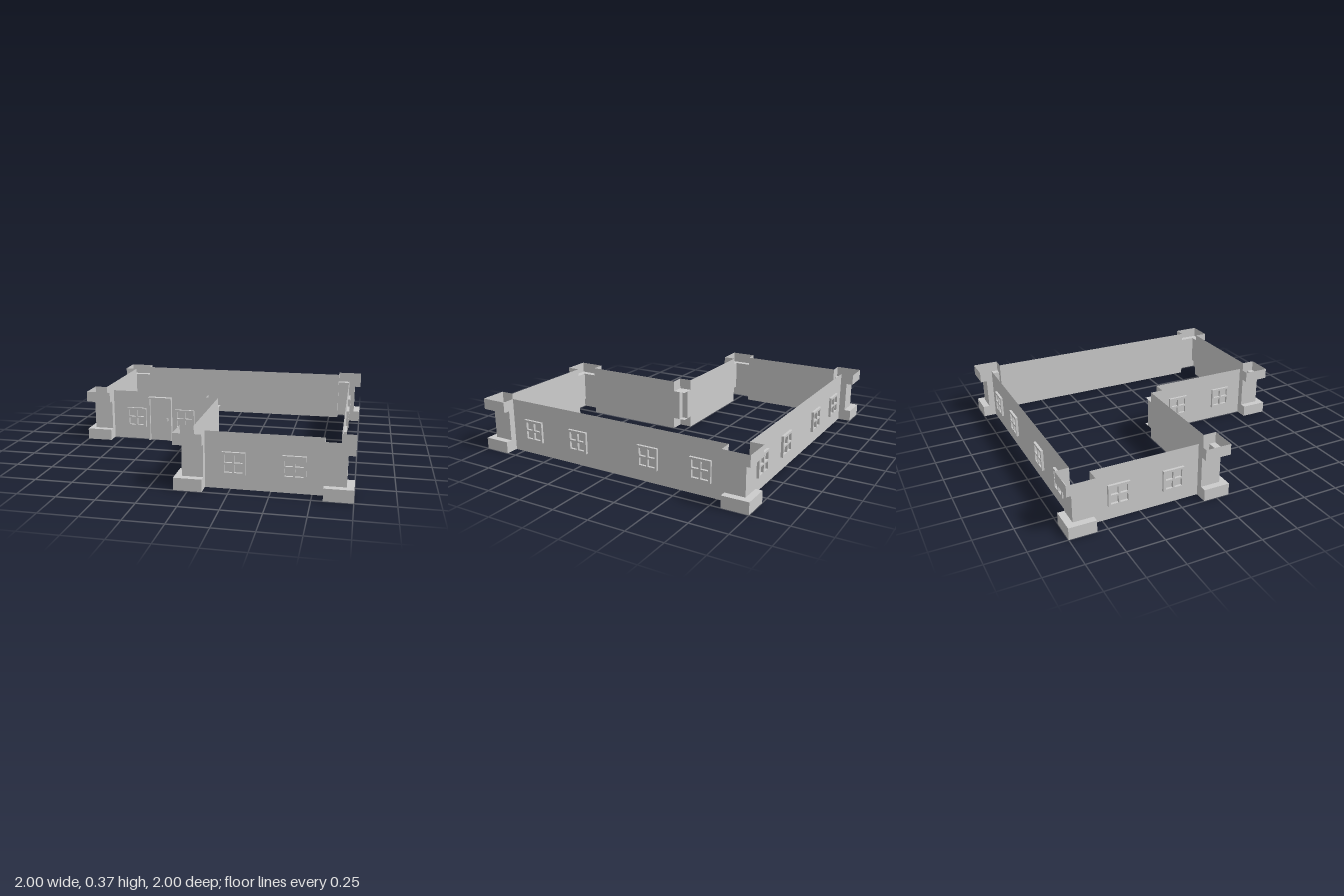
import * as THREE from 'three';

const H = 0.365;              // wall height
const LOW = 0.08, HIGH = 0.29; // pier ledge heights
const R = 0.09, M = 0.045;     // pier half width, shaft half width

const sheet = new THREE.MeshStandardMaterial({ color: 0xcccccc, flatShading: true, side: THREE.DoubleSide });
const solid = new THREE.MeshStandardMaterial({ color: 0xcccccc, flatShading: true });

function add(parent, name, geometry, material, x = 0, y = 0, z = 0) {
  const mesh = new THREE.Mesh(geometry, material);
  mesh.name = name;
  mesh.position.set(x, y, z);
  parent.add(mesh);
  return mesh;
}

// Upright sheet following a plan outline of [x, z] points
function ribbon(points, y0, y1) {
  const pos = [], index = [];
  for (let i = 0; i < points.length - 1; i++) {
    const [ax, az] = points[i], [bx, bz] = points[i + 1], n = i * 4;
    pos.push(ax, y0, az, bx, y0, bz, bx, y1, bz, ax, y1, az);
    index.push(n, n + 1, n + 2, n, n + 2, n + 3);
  }
  const g = new THREE.BufferGeometry();
  g.setAttribute('position', new THREE.Float32BufferAttribute(pos, 3));
  g.setIndex(index);
  g.computeVertexNormals();
  return g;
}

// Flat horizontal sheet from a plan outline
function plate(points) {
  const shape = new THREE.Shape(points.map(([x, z]) => new THREE.Vector2(x, -z)));
  return new THREE.ShapeGeometry(shape).rotateX(-Math.PI / 2);
}

function rectPath(x0, y0, x1, y1, Type = THREE.Path) {
  return new Type([[x0, y0], [x1, y0], [x1, y1], [x0, y1]].map(p => new THREE.Vector2(...p)));
}

// Hollow pier: wide base and cap with a recessed shaft between
const CONVEX = {
  outer: [[-R, 0], [-R, R], [R, R], [R, -R], [0, -R]],
  shaft: [[-R, 0], [-R, M], [M, M], [M, -R], [0, -R]],
  ledge: [[-R, R], [R, R], [R, -R], [M, -R], [M, M], [-R, M]],
};
const CONCAVE = {
  outer: [[R, 0], [R, R], [0, R]],
  shaft: [[R, 0], [M, 0], [M, M], [0, M], [0, R]],
  ledge: [[0, 0], [R, 0], [R, R], [0, R]],
};

function makePier(name, plan, x, z, sx, sz) {
  const pier = new THREE.Group();
  pier.name = name;
  pier.position.set(x, 0, z);
  const turn = pts => pts.map(([u, v]) => [u * sx, v * sz]);
  add(pier, 'pierBase', ribbon(turn(plan.outer), 0, LOW), sheet);
  add(pier, 'pierShaft', ribbon(turn(plan.shaft), LOW, HIGH), sheet);
  add(pier, 'pierCap', ribbon(turn(plan.outer), HIGH, H), sheet);
  add(pier, 'lowerLedge', plate(turn(plan.ledge)), sheet, 0, LOW);
  add(pier, 'upperLedge', plate(turn(plan.ledge)), sheet, 0, HIGH);
  return pier;
}

// Window frame with four panes
function windowGeometry() {
  const w = 0.0725, inner = 0.057, bar = 0.006;
  const shape = rectPath(-w, -w, w, w, THREE.Shape);
  for (const sx of [-1, 1]) for (const sy of [-1, 1])
    shape.holes.push(rectPath(sx * bar, sy * bar, sx * inner, sy * inner));
  return new THREE.ExtrudeGeometry(shape, { depth: 0.017, bevelEnabled: false });
}

function makeDoor() {
  const door = new THREE.Group();
  door.name = 'door';
  const frame = new THREE.Shape([[-0.0875, 0], [-0.0755, 0], [-0.0755, 0.317], [0.0755, 0.317],
    [0.0755, 0], [0.0875, 0], [0.0875, 0.33], [-0.0875, 0.33]].map(p => new THREE.Vector2(...p)));
  add(door, 'doorFrame', new THREE.ExtrudeGeometry(frame, { depth: 0.032, bevelEnabled: false }), solid);
  add(door, 'doorLeaf', new THREE.BoxGeometry(0.151, 0.317, 0.014), solid, 0, 0.1585, 0.007);
  add(door, 'doorHandle', new THREE.BoxGeometry(0.011, 0.019, 0.016), solid, 0.055, 0.16, 0.022);
  return door;
}

export function createModel() {
  const model = new THREE.Group();
  model.name = 'building';

  // Walls: name, centre x, centre z, facing angle, length, window offsets
  const q = Math.PI / 2, four = [-0.64, -0.27, 0.27, 0.64], two = [-0.185, 0.185];
  const walls = [
    ['backWall', 0, -0.91, Math.PI, 1.64, four],
    ['leftWall', 0.91, 0, q, 1.64, four],
    ['frontWall', 0.455, 0.91, 0, 0.73, two],
    ['rightWall', -0.91, -0.455, -q, 0.73, two],
    ['entranceWall', -0.455, 0, 0, 0.73, two],
    ['courtWall', 0, 0.455, -q, 0.73, two],
  ];
  const pane = windowGeometry();
  for (const [name, x, z, angle, length, offsets] of walls) {
    const wall = new THREE.Group();
    wall.name = name;
    wall.position.set(x, 0, z);
    wall.rotation.y = angle;
    add(wall, 'wallPanel', new THREE.PlaneGeometry(length, H), sheet, 0, H / 2);
    for (const o of offsets) add(wall, 'windowFrame', pane, solid, o, 0.1675, 0);
    if (name === 'entranceWall') wall.add(makeDoor());
    model.add(wall);
  }

  // Corner piers: centre and outward directions
  const corners = [
    [-0.91, -0.91, -1, -1], [0.91, -0.91, 1, -1], [0.91, 0.91, 1, 1],
    [0, 0.91, -1, 1], [-0.91, 0, -1, 1],
  ];
  for (const c of corners) model.add(makePier('cornerPier', CONVEX, ...c));
  model.add(makePier('innerCornerPier', CONCAVE, 0, 0, -1, 1));

  return model;
}
